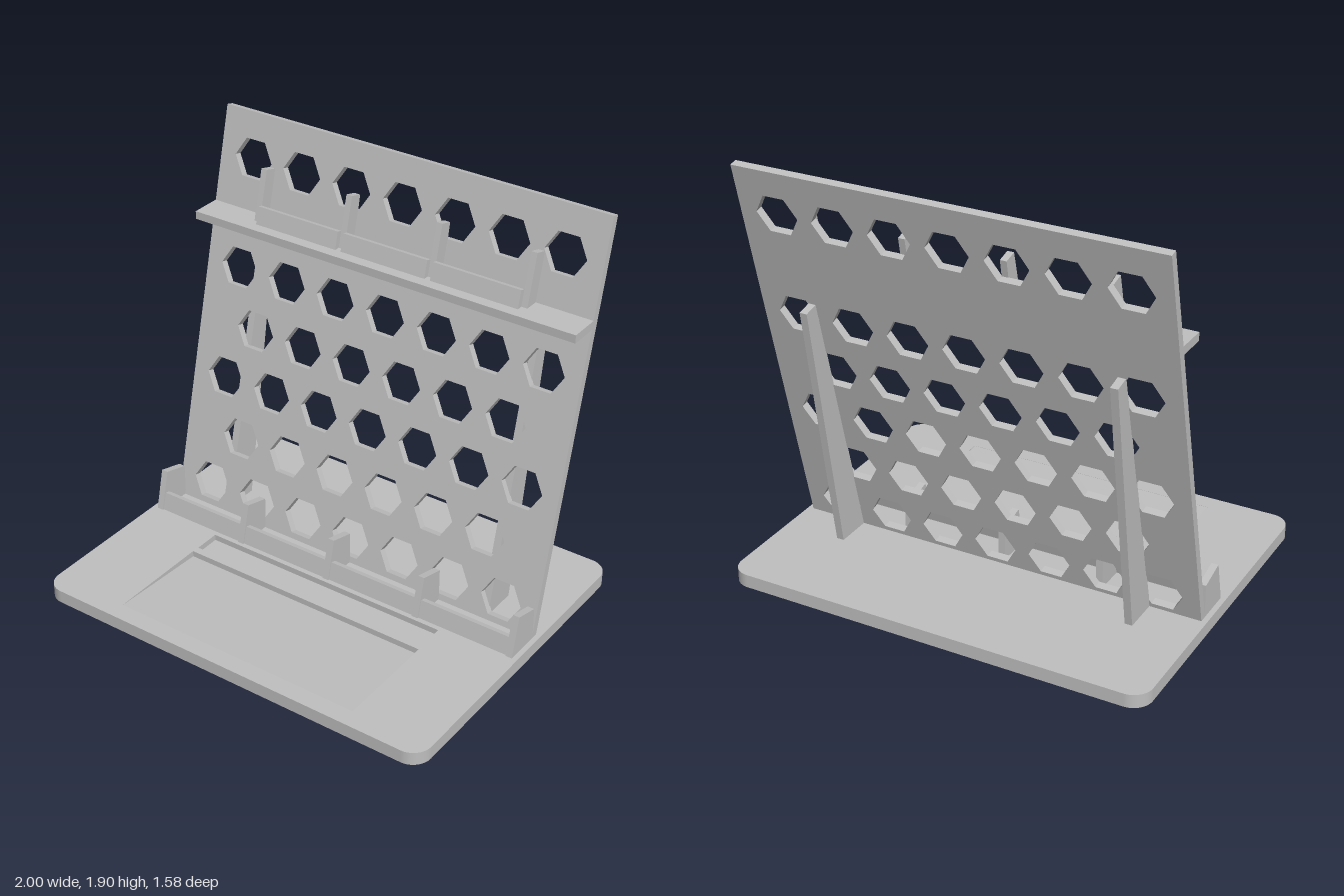
import * as THREE from 'three';

const TOP = 0.0625;          // top surface of the base
const LEAN = 0.2405;         // backward lean of the panel, radians
const FOOT_Z = -0.135;       // where the panel front meets the base

export function createModel() {
  const model = new THREE.Group();
  model.name = 'tiltedStand';
  const gray = new THREE.MeshStandardMaterial({ color: 0xbfbfbf });
  gray.name = 'light gray';

  const add = (name, geometry, parent = model) => {
    const mesh = new THREE.Mesh(geometry, gray);
    mesh.name = name;
    parent.add(mesh);
    return mesh;
  };

  // Side profile of [z, y] points, extruded along x and centred on x
  const addProfile = (name, points, x, width, parent = model) => {
    const shape = new THREE.Shape(points.map(([z, y]) => new THREE.Vector2(z, y)));
    const geometry = new THREE.ExtrudeGeometry(shape, { depth: width, bevelEnabled: false });
    geometry.translate(0, 0, -width / 2);
    geometry.rotateY(-Math.PI / 2);
    add(name, geometry, parent).position.x = x;
  };

  // Rounded base outline, drawn in x and -z
  const baseShape = () => {
    const w = 1, d = 0.79, r = 0.09;
    const s = new THREE.Shape();
    s.absarc(w - r, d - r, r, 0, Math.PI / 2);
    s.absarc(-w + r, d - r, r, Math.PI / 2, Math.PI);
    s.absarc(-w + r, -d + r, r, Math.PI, Math.PI * 1.5);
    s.absarc(w - r, -d + r, r, Math.PI * 1.5, Math.PI * 2);
    s.closePath();
    return s;
  };
  const addLayer = (name, y0, y1, holes) => {
    const shape = baseShape();
    shape.holes.push(...holes);
    const geometry = new THREE.ExtrudeGeometry(shape, { depth: y1 - y0, bevelEnabled: false, curveSegments: 12 });
    geometry.rotateX(-Math.PI / 2);
    add(name, geometry).position.y = y0;
  };
  const rectHole = (x, z0, z1) => new THREE.Path([[-x, -z0], [x, -z0], [x, -z1], [-x, -z1]]
    .map(([a, b]) => new THREE.Vector2(a, b))).closePath();

  // Base: foot recesses below, solid core, pockets on top
  const footHoles = [];
  for (const x of [-0.715, 0.715]) {
    for (const z of [-0.7, 0.7]) {
      footHoles.push(new THREE.Path().absarc(x, z, 0.055, 0, Math.PI * 2, true));
    }
  }
  const floor = 0.034;
  addLayer('baseUnderside', 0, 0.012, footHoles);
  addLayer('baseCore', 0.012, floor, []);
  addLayer('baseTop', floor, TOP, [rectHole(0.615, 0.05, 0.175), rectHole(0.618, 0.21, 0.705)]);
  addProfile('slopedPocketFloor', [[0.21, floor], [0.705, floor], [0.705, TOP - 0.001]], 0, 1.236);

  // Leaning panel with staggered hexagonal holes
  const length = 1.896, half = 0.975, thick = 0.036, pitch = 0.2655;
  const panel = new THREE.Shape([[-half, 0], [half, 0], [half, length], [-half, length]]
    .map(([x, y]) => new THREE.Vector2(x, y)));
  const rows = [[0.175, 7], [0.43, 6], [0.69, 7], [0.947, 6], [1.208, 7], [1.7, 7]];
  for (const [height, count] of rows) {
    const cy = (height - TOP) / Math.cos(LEAN);
    for (let i = 0; i < count; i++) {
      const cx = (i - (count - 1) / 2) * pitch;
      const corners = [];
      for (let k = 0; k < 6; k++) {
        const a = -k * Math.PI / 3;
        corners.push(new THREE.Vector2(cx + 0.1 * Math.cos(a), cy + 0.1 * Math.sin(a)));
      }
      panel.holes.push(new THREE.Path(corners).closePath());
    }
  }
  const panelGeometry = new THREE.ExtrudeGeometry(panel, { depth: thick, bevelEnabled: false });
  panelGeometry.translate(0, 0, -thick);
  const panelMesh = add('hexPanel', panelGeometry);
  panelMesh.position.set(0, TOP, FOOT_Z);
  panelMesh.rotation.x = -LEAN;

  // Rear support struts
  for (const x of [-0.717, 0.717]) {
    addProfile('rearSupport', [[-0.34, 0.055], [-0.165, 0.055], [-0.465, 1.274], [-0.537, 1.257]], x, 0.035);
  }

  // Ribs with rails filling the gaps between them
  const addHolder = (name, ribXs, ribWidth, rib, rail) => {
    const holder = new THREE.Group();
    holder.name = name;
    model.add(holder);
    ribXs.forEach((x, i) => {
      addProfile('rib', rib, x, ribWidth, holder);
      if (i === 0) return;
      const previous = ribXs[i - 1];
      addProfile('rail', rail, (x + previous) / 2, x - previous - ribWidth + 0.002, holder);
    });
  };

  addHolder('lowerHolder', [-0.959, -0.48, 0, 0.48, 0.959], 0.032,
    [[-0.14, 0.055], [0.033, 0.06], [-0.013, 0.253], [-0.14, 0.219], [-0.174, 0.219]].slice(0, 4),
    [[0.0, 0.06], [0.027, 0.06], [0.006, 0.146], [-0.021, 0.139]]);

  // Upper shelf with its own holder
  const shelf = add('upperShelf', new THREE.BoxGeometry(half * 2, 0.038, 0.15));
  shelf.position.set(0, 1.454, -0.41);
  addHolder('upperHolder', [-0.688, -0.23, 0.23, 0.688], 0.03,
    [[-0.49, 1.465], [-0.412, 1.465], [-0.472, 1.705], [-0.532, 1.689]],
    [[-0.411, 1.465], [-0.385, 1.465], [-0.407, 1.553], [-0.432, 1.547]]);

  return model;
}
